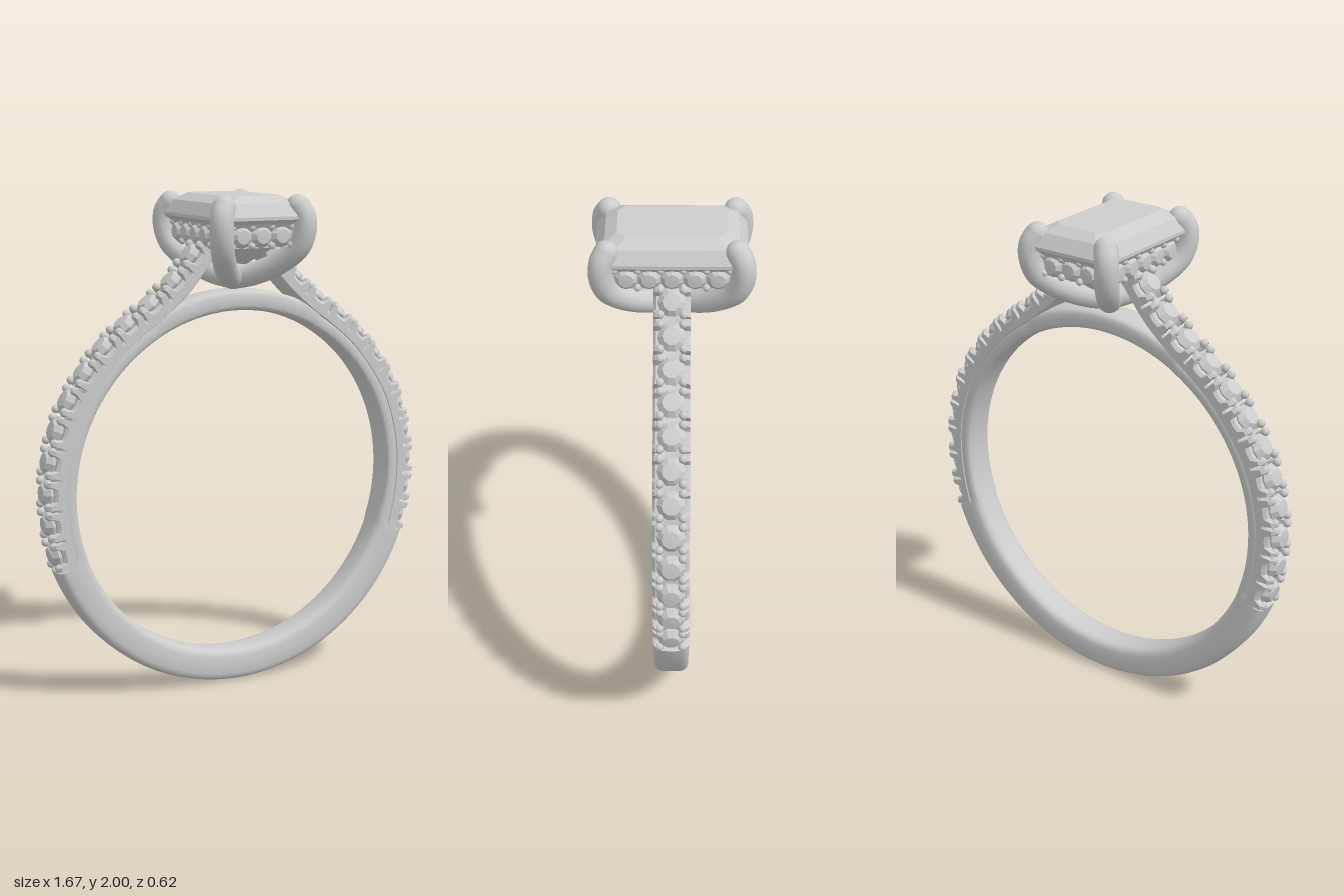
import * as THREE from 'three';
import { toCreasedNormals } from 'three/addons/utils/BufferGeometryUtils.js';

const grey = new THREE.MeshStandardMaterial({ color: 0xcccccc });
grey.name = 'pale grey';

function add(parent, name, geometry, x = 0, y = 0, z = 0) {
  const mesh = new THREE.Mesh(geometry, grey);
  mesh.name = name;
  mesh.position.set(x, y, z);
  parent.add(mesh);
  return mesh;
}

// Skin a row of equal-length loops of [x, y, z] points
function loft(sections, closed, crease) {
  const n = sections[0].length, m = sections.length, index = [];
  for (let i = 0; i < (closed ? m : m - 1); i++) {
    for (let j = 0; j < n; j++) {
      const a = i * n + j, b = i * n + (j + 1) % n;
      const c = ((i + 1) % m) * n + j, d = ((i + 1) % m) * n + (j + 1) % n;
      index.push(a, c, b, b, c, d);
    }
  }
  if (!closed) {
    const e = (m - 1) * n;
    for (let j = 1; j < n - 1; j++) index.push(0, j, j + 1, e, e + j + 1, e + j);
  }
  const g = new THREE.BufferGeometry();
  g.setAttribute('position', new THREE.Float32BufferAttribute(sections.flat(2), 3));
  g.setIndex(index);
  return toCreasedNormals(g, crease);
}

// Round faceted gem: table towards +y, girdle at y = 0
function roundGem(r) {
  const profile = [[0, -0.8], [0.98, -0.08], [1, 0.05], [0.62, 0.48], [0, 0.52]];
  const g = new THREE.LatheGeometry(profile.map(([x, y]) => new THREE.Vector2(x * r, y * r)), 10);
  return toCreasedNormals(g, 0.1);
}

const CY = 0.835;   // centre height of the finger hole

function buildBand(parent) {
  const sections = [], steps = 240;
  for (let i = 0; i < steps; i++) {
    const t = (i + 0.5) / steps * Math.PI * 2;
    const elevation = Math.asin(Math.sin(t)) * 180 / Math.PI;
    const plain = elevation < -19.5;
    const outer = plain ? 0.833 : elevation > 62 ? 0.785 : 0.765;
    const width = plain ? 0.07 : 0.067;
    const mid = (outer + 0.7) / 2, half = (outer - 0.7) / 2, loop = [];
    for (let j = 0; j < 24; j++) {
      const a = j / 24 * Math.PI * 2, c = Math.cos(a), s = Math.sin(a);
      const r = mid + half * Math.sign(c) * Math.sqrt(Math.abs(c));
      const z = width * Math.sign(s) * Math.sqrt(Math.abs(s));
      loop.push([r * Math.cos(t), CY + r * Math.sin(t), z]);
    }
    sections.push(loop);
  }
  add(parent, 'band', loft(sections, true, 0.6));
}

// Gem-set shoulder on the +x side
function buildShoulder() {
  const group = new THREE.Group();
  const path = new THREE.CatmullRomCurve3([
    [0.783, 0.55], [0.816, 0.7], [0.827, 0.86], [0.813, 1.0], [0.747, 1.2], [0.6, 1.41],
    [0.49, 1.51], [0.37, 1.6], [0.27, 1.69], [0.19, 1.79], [0.165, 1.82],
  ].map(([x, y]) => new THREE.Vector3(x, y, 0)));
  path.arcLengthDivisions = 600;
  const count = 12;
  const frame = (s) => {
    const p = path.getPointAt(Math.min(1, Math.max(0, s))), t = path.getTangentAt(Math.min(1, Math.max(0, s)));
    return { p, t, n: new THREE.Vector3(t.y, -t.x, 0) };
  };
  // Rim height through one setting: slit, prong, scoop, prong, slit
  const rim = [[-0.49, -0.045], [-0.455, -0.045], [-0.435, 0], [-0.3, 0], [-0.2, -0.03], [0, -0.033],
    [0.2, -0.03], [0.3, 0], [0.435, 0], [0.455, -0.045], [0.49, -0.045]];
  const sections = [];
  for (let k = 0; k < count; k++) {
    for (const [u, e] of rim) {
      const { p, n } = frame((k + 0.5 + u) / count);
      const side = [[-0.09, 0.05], [-0.08, 0.07], [-0.06, 0.07], [e - 0.012, 0.07], [e, 0.06], [e, 0.046], [-0.05, 0.036]];
      const outline = [...side.map(([h, z]) => [h, -z]), ...side.slice().reverse()];
      sections.push(outline.map(([h, z]) => [p.x + n.x * h, p.y + n.y * h, z]));
    }
  }
  add(group, 'shoulder', loft(sections, false, 0.6));

  const gem = roundGem(0.055), bead = new THREE.SphereGeometry(0.017, 10, 8);
  for (let k = 0; k < count; k++) {
    const { p, n } = frame((k + 0.5) / count);
    const stone = add(group, 'shoulderGem', gem, p.x - n.x * 0.022, p.y - n.y * 0.022, 0);
    stone.rotation.z = Math.atan2(-n.x, n.y);
    for (const u of [-0.36, 0.36]) {
      for (const z of [-0.044, 0.044]) {
        const f = frame((k + 0.5 + u) / count);
        add(group, 'shoulderBead', bead, f.p.x - f.n.x * 0.009, f.p.y - f.n.y * 0.009, z);
      }
    }
  }
  return group;
}

// Rectangular step-cut centre stone with clipped corners
function buildCentreStone(parent) {
  const levels = [[0.012, 0.1, 0.004, 1.725], [0.11, 0.2, 0.03, 1.8], [0.175, 0.262, 0.045, 1.89],
    [0.198, 0.284, 0.05, 1.905], [0.198, 0.284, 0.05, 1.918], [0.168, 0.25, 0.045, 1.968], [0.118, 0.205, 0.035, 1.995]];
  const sections = levels.map(([x, z, c, y]) => [
    [x, y, -z + c], [x, y, z - c], [x - c, y, z], [-x + c, y, z],
    [-x, y, z - c], [-x, y, -z + c], [-x + c, y, -z], [x - c, y, -z],
  ]);
  add(parent, 'centreStone', loft(sections, false, 0.05));
}

// Gem-set gallery under the centre stone
function buildGallery(parent) {
  const rect = (shape, x, z) => shape.moveTo(-x, -z).lineTo(x, -z).lineTo(x, z).lineTo(-x, z).closePath();
  const shape = rect(new THREE.Shape(), 0.152, 0.237);
  shape.holes.push(rect(new THREE.Path(), 0.105, 0.19));
  const wall = new THREE.ExtrudeGeometry(shape, { depth: 0.095, bevelEnabled: false });
  wall.rotateX(-Math.PI / 2);
  add(parent, 'galleryWall', wall, 0, 1.797, 0);

  const gem = roundGem(0.045), bead = new THREE.SphereGeometry(0.014, 10, 8);
  for (const [count, distance, turn] of [[3, 0.237, 0], [5, 0.152, 1], [3, 0.237, 2], [5, 0.152, 3]]) {
    const side = new THREE.Group();
    side.name = 'gallerySide';
    side.rotation.y = turn * Math.PI / 2;
    for (let k = 0; k < count; k++) {
      const x = (k - (count - 1) / 2) * 0.085;
      add(side, 'galleryGem', gem, x, 1.842, distance + 0.004).rotation.x = Math.PI / 2;
    }
    for (let k = 0; k <= count; k++) {
      const x = (k - count / 2) * 0.085;
      for (const y of [1.806, 1.878]) add(side, 'galleryBead', bead, x, y, distance + 0.01);
    }
    parent.add(side);
  }
}

// Claws sweeping from the base of the setting up over the stone's corners
function buildClaws(parent) {
  for (const sx of [1, -1]) {
    for (const sz of [1, -1]) {
      const path = new THREE.CatmullRomCurve3([
        [0, 1.663, 0], [0.055, 1.683, 0.075], [0.12, 1.732, 0.17], [0.165, 1.795, 0.24],
        [0.18, 1.865, 0.263], [0.177, 1.92, 0.26], [0.16, 1.957, 0.241],
      ].map(([x, y, z]) => new THREE.Vector3(x * sx, y, z * sz)));
      add(parent, 'claw', new THREE.TubeGeometry(path, 36, 0.046, 16));
      add(parent, 'clawTip', new THREE.SphereGeometry(0.046, 16, 12), 0.16 * sx, 1.955, 0.241 * sz);
    }
  }
  add(parent, 'clawBase', new THREE.SphereGeometry(0.047, 16, 12), 0, 1.663, 0);
}

export function createModel() {
  const model = new THREE.Group();
  model.name = 'ring';
  buildBand(model);
  const left = buildShoulder(), right = buildShoulder();
  left.name = 'leftShoulder';
  right.name = 'rightShoulder';
  right.rotation.y = Math.PI;
  model.add(left, right);
  const setting = new THREE.Group();
  setting.name = 'setting';
  buildCentreStone(setting);
  buildGallery(setting);
  buildClaws(setting);
  model.add(setting);
  return model;
}
